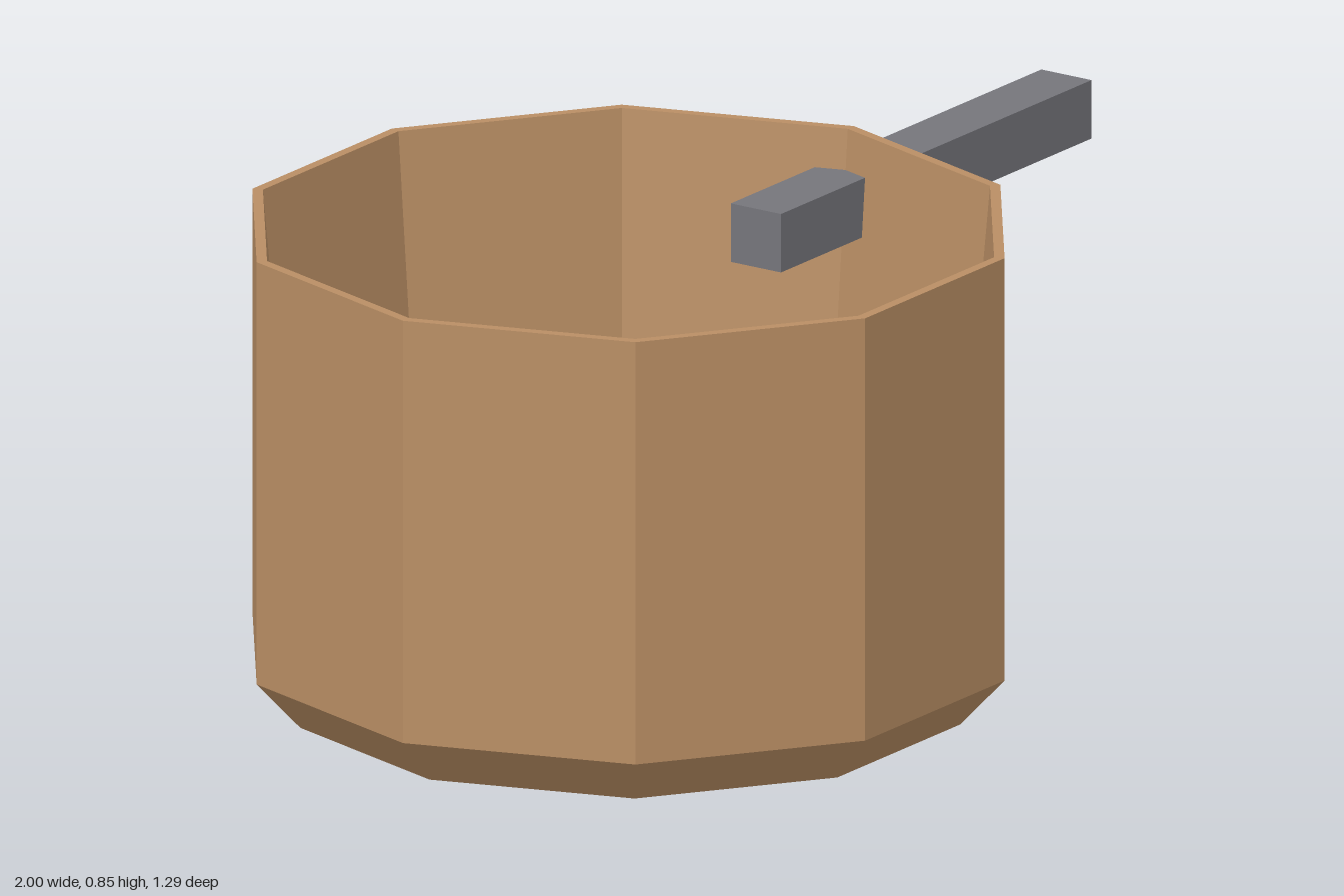
import * as THREE from 'three';

export function createModel() {
  const model = new THREE.Group();
  model.name = 'saucepan';

  const copper = new THREE.MeshStandardMaterial({ color: 0xb98e64 });
  copper.name = 'copper brown';
  copper.flatShading = true;
  const iron = new THREE.MeshStandardMaterial({ color: 0x75757b });
  iron.name = 'iron grey';
  iron.flatShading = true;

  // Ten-sided pot: base, bevel, outer wall, thin rim, tapered inner wall, floor
  const profile = [
    [0, 0], [0.6, 0], [0.68, 0.087], [0.68, 0.853],
    [0.661, 0.853], [0.595, 0.12], [0, 0.12],
  ].map(([r, y]) => new THREE.Vector2(r, y));
  const pot = new THREE.Mesh(
    new THREE.LatheGeometry(profile, 10, Math.PI / 2).toNonIndexed(), copper);
  pot.geometry.computeVertexNormals();
  pot.name = 'pot';
  pot.position.x = -0.32;
  model.add(pot);

  // Square bar handle, running through the wall
  const handle = new THREE.Mesh(new THREE.BoxGeometry(0.936, 0.106, 0.106), iron);
  handle.name = 'handle';
  handle.position.set(0.532, 0.727, 0);
  model.add(handle);

  return model;
}
